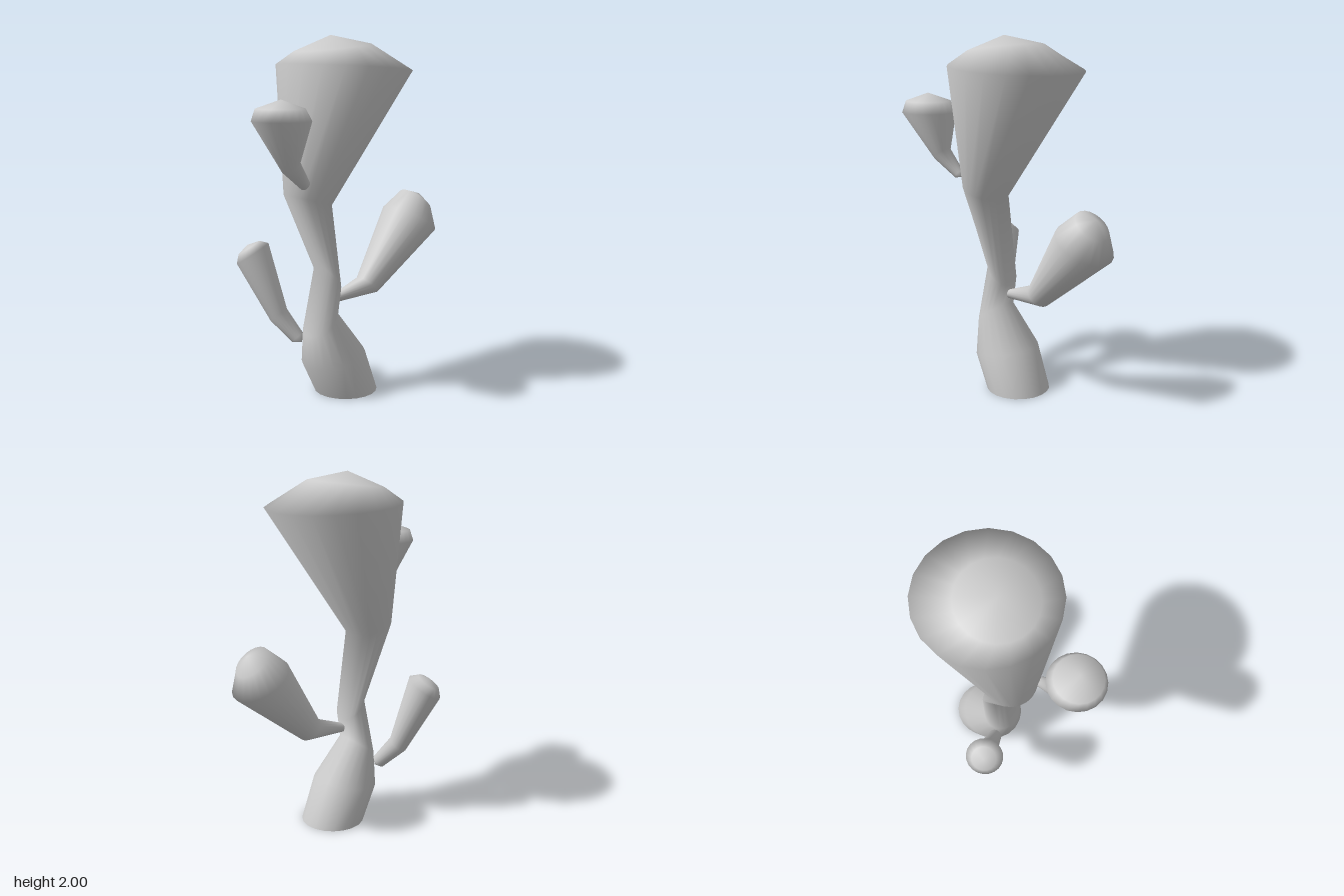
import * as THREE from 'three';

const SIDES = 20;
const V = (x, y, z) => new THREE.Vector3(x, y, z);
const material = new THREE.MeshStandardMaterial({ color: 0xcccccc });

// A ring is a centre, the direction it faces and a radius.
const ring = (c, n, r) => ({ c: V(...c), n: V(...n).normalize(), r });

// A ring in the middle plane, from its near and far edge points [z, y].
function pairRing([z0, y0], [z1, y1], x = 0.005) {
  const r = Math.hypot(z1 - z0, y1 - y0) / 2;
  return ring([x, (y0 + y1) / 2, (z0 + z1) / 2], [0, z0 - z1, y1 - y0], r);
}

// Skins a run of rings, closing the end on a tip point and the start on a point or a flat base.
function limb(name, rings, tip, root, flatBase = false) {
  const pos = [], index = [];
  const addRing = ({ c, n, r }) => {
    const start = pos.length / 3;
    const u = V(1, 0, 0).addScaledVector(n, -n.x).normalize();
    const v = n.clone().cross(u);
    for (let i = 0; i < SIDES; i++) {
      const a = (i / SIDES) * Math.PI * 2;
      const p = c.clone().addScaledVector(u, r * Math.cos(a)).addScaledVector(v, r * Math.sin(a));
      pos.push(p.x, p.y, p.z);
    }
    return start;
  };
  const starts = rings.map(addRing);
  for (let k = 0; k + 1 < starts.length; k++) {
    for (let i = 0; i < SIDES; i++) {
      const j = (i + 1) % SIDES, a = starts[k], b = starts[k + 1];
      index.push(a + i, a + j, b + j, a + i, b + j, b + i);
    }
  }
  const fan = (start, point, flip) => {
    const p = pos.length / 3;
    pos.push(...point);
    for (let i = 0; i < SIDES; i++) {
      const a = start + i, b = start + (i + 1) % SIDES;
      index.push(...(flip ? [b, a, p] : [a, b, p]));
    }
  };
  fan(starts[starts.length - 1], tip, false);
  fan(flatBase ? addRing(rings[0]) : starts[0], root, true);

  const geometry = new THREE.BufferGeometry();
  geometry.setAttribute('position', new THREE.Float32BufferAttribute(pos, 3));
  geometry.setIndex(index);
  geometry.computeVertexNormals();
  const mesh = new THREE.Mesh(geometry, material);
  mesh.name = name;
  return mesh;
}

export function createModel() {
  const group = new THREE.Group();
  group.name = 'branchingStalk';

  // Winding trunk that flares into a wide domed head
  group.add(limb('trunk', [
    pairRing([0.15, 0], [-0.21, 0]),
    pairRing([0.237, 0.18], [-0.12, 0.25]),
    pairRing([0.24, 0.36], [0.057, 0.485]),
    pairRing([0.16, 0.75], [0.035, 0.6]),
    pairRing([0.357, 1.16], [0.1, 1.09]),
    pairRing([0.355, 1.85], [-0.39, 1.81], 0.008),
    pairRing([0.27, 1.91], [-0.145, 1.96], 0.008),
  ], [0.008, 2, 0.075], [0.005, 0, -0.03], true));

  // Large branch reaching out behind
  group.add(limb('backBranch', [
    pairRing([0.035, 0.577], [0.035, 0.524]),
    pairRing([-0.135, 0.64], [-0.24, 0.54]),
    pairRing([-0.36, 1.03], [-0.65, 0.86]),
    pairRing([-0.475, 1.12], [-0.632, 0.985]),
  ], [0.005, 1.09, -0.58], [0.005, 0.55, 0.06]));

  // Small upper branch with a wide head, front left
  group.add(limb('upperFrontBranch', [
    ring([0.12, 1.225, 0.325], [0.15, 0.6, 0.7], 0.03),
    ring([0.148, 1.333, 0.433], [0.1, 0.8, 0.6], 0.054),
    ring([0.177, 1.568, 0.505], [0, 1, 0], 0.153),
    ring([0.177, 1.63, 0.512], [0, 1, 0], 0.126),
  ], [0.18, 1.675, 0.51], [0.115, 1.21, 0.305]));

  // Slim lower branch, front right
  group.add(limb('lowerFrontBranch', [
    ring([-0.1, 0.325, 0.23], [-0.6, 0.7, 0.35], 0.04),
    ring([-0.193, 0.448, 0.295], [-0.5, 0.8, 0.35], 0.057),
    ring([-0.295, 0.8, 0.398], [-0.4, 0.86, 0.4], 0.106),
    ring([-0.31, 0.832, 0.413], [-0.4, 0.86, 0.4], 0.07),
  ], [-0.317, 0.848, 0.42], [-0.08, 0.3, 0.215]));

  return group;
}
